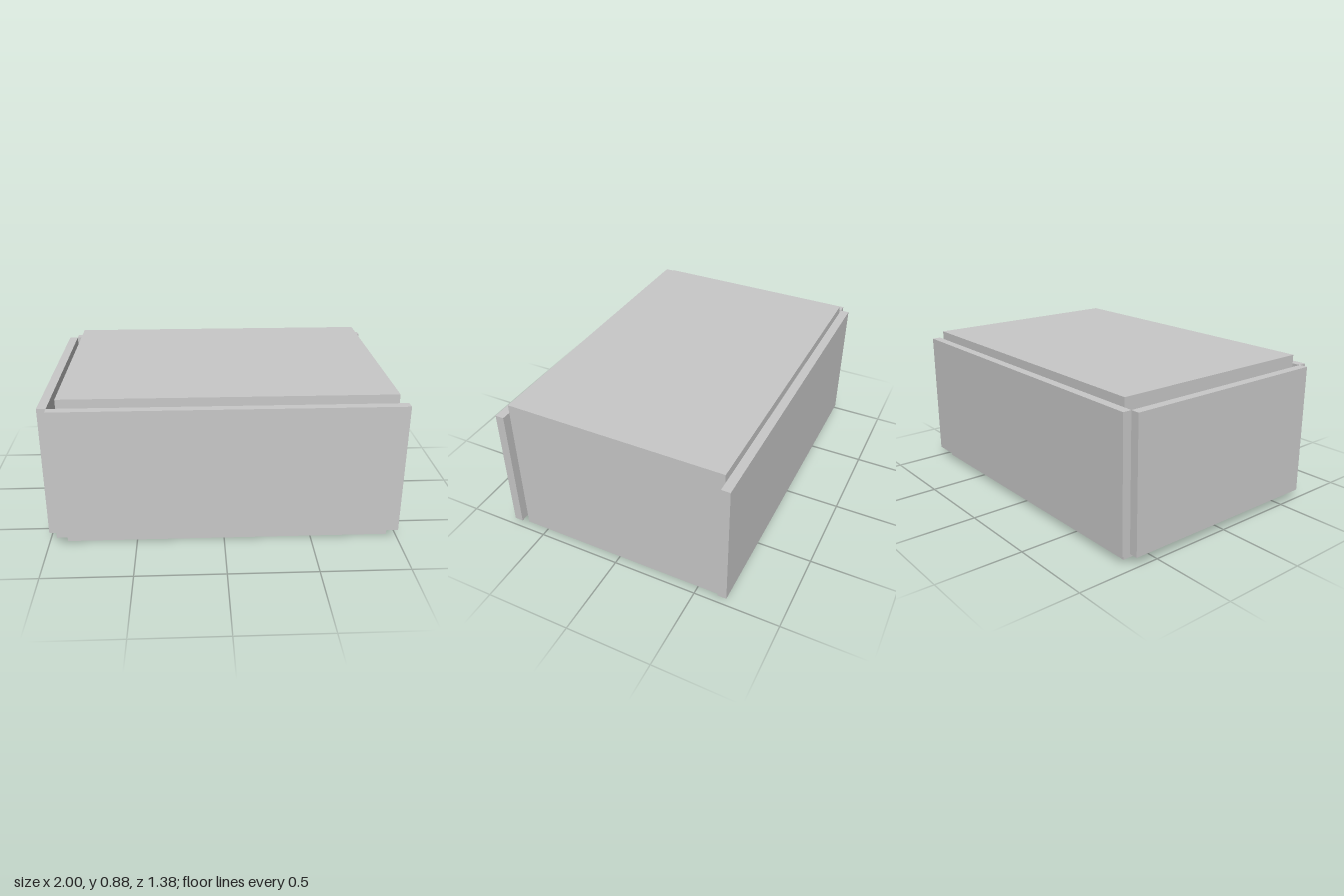
import * as THREE from 'three';

export function createModel() {
  const group = new THREE.Group();
  group.name = 'panelledBox';
  const grey = new THREE.MeshStandardMaterial({ color: 0xc8c8c8 });
  grey.name = 'light grey';

  // Box given by its lower and upper corners
  const addBox = (name, [x0, y0, z0], [x1, y1, z1]) => {
    const mesh = new THREE.Mesh(new THREE.BoxGeometry(x1 - x0, y1 - y0, z1 - z0), grey);
    mesh.position.set((x0 + x1) / 2, (y0 + y1) / 2, (z0 + z1) / 2);
    mesh.name = name;
    group.add(mesh);
  };

  const low = 0.056, high = 0.824; // height range of the outer panels
  const inner = 0.641, outer = 0.692; // depth of body and of panel faces

  // Main body
  addBox('body', [-0.899, 0, -inner], [0.947, 0.875, inner]);

  // Front and back panels, overhanging the body at both ends
  addBox('frontPanel', [-0.949, low, inner], [1, high, outer]);
  addBox('backPanel', [-0.949, low, -outer], [1, high, -inner]);

  // Side panel, standing clear of the body
  addBox('sidePanel', [-1, low, -inner], [-0.949, high, inner]);

  // Spacers inside the gap behind the side panel
  addBox('wideSpacer', [-0.949, 0.3, -0.02], [-0.899, 0.52, 0.21]);
  addBox('spacerLip', [-0.92, 0.52, 0.01], [-0.899, 0.56, 0.21]);
  addBox('narrowSpacer', [-0.949, 0.34, 0.385], [-0.899, 0.52, 0.53]);

  return group;
}
